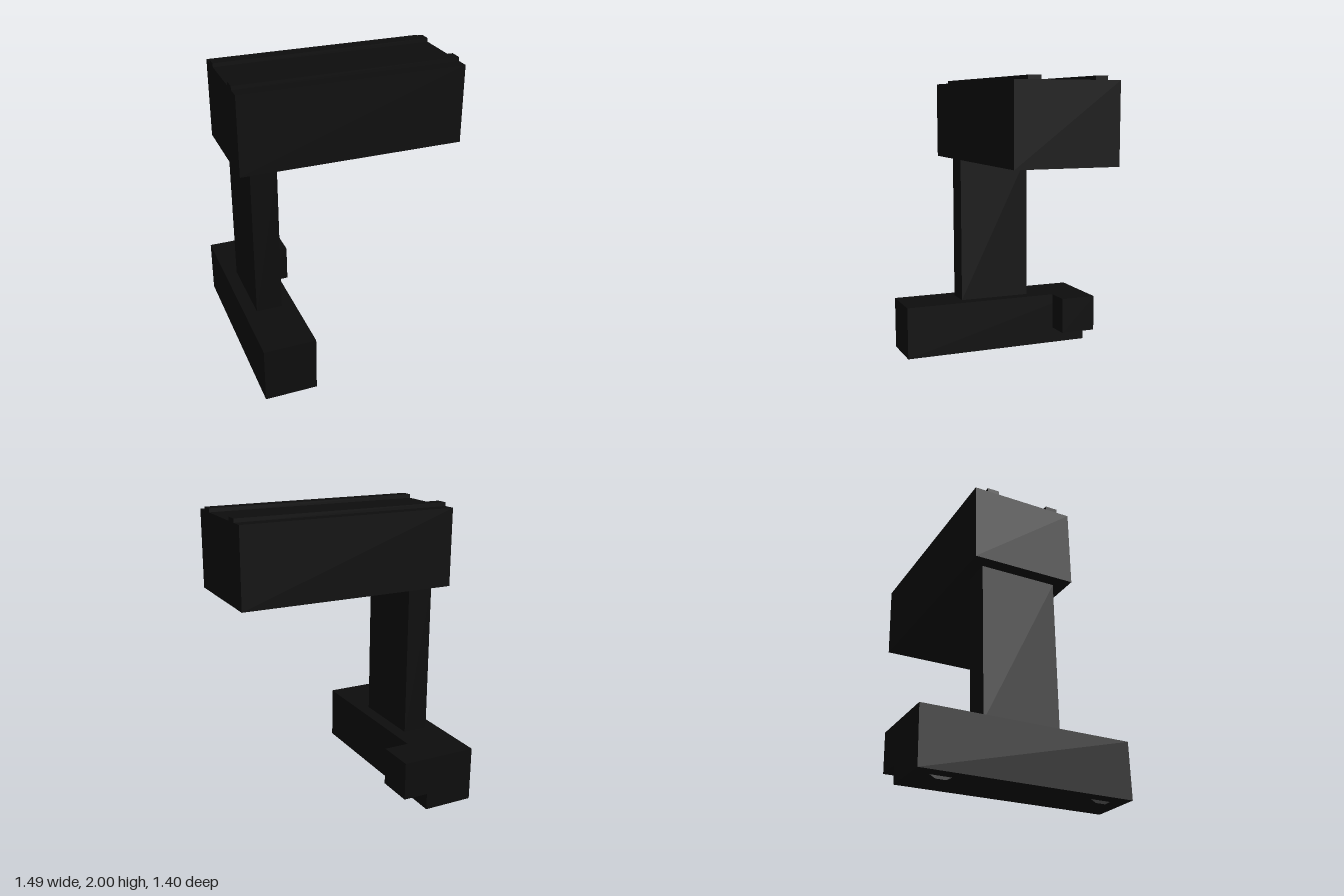
import * as THREE from 'three';

export function createModel() {
  const model = new THREE.Group();
  const black = new THREE.MeshStandardMaterial({ color: 0x0d0d0d });
  black.name = 'matte black';

  // Box given by its [min, max] range on each axis
  function addBox(name, [x0, x1], [y0, y1], [z0, z1]) {
    const mesh = new THREE.Mesh(new THREE.BoxGeometry(x1 - x0, y1 - y0, z1 - z0), black);
    mesh.position.set((x0 + x1) / 2, (y0 + y1) / 2, (z0 + z1) / 2);
    mesh.name = name;
    model.add(mesh);
  }

  // Base with a raised block on its rear inner side
  addBox('base', [-0.745, -0.397], [0.02, 0.395], [-0.7, 0.7]);
  addBox('sideBlock', [-0.397, -0.222], [0.135, 0.395], [-0.7, -0.44]);

  // Upright and overhanging head
  addBox('column', [-0.66, -0.485], [0.395, 1.45], [-0.26, 0.26]);
  addBox('head', [-0.745, 0.745], [1.45, 1.975], [-0.35, 0.35]);

  // Twelve-sided rollers, flat side down, barely showing under the base
  const radius = 0.13;
  const rollerGeometry = new THREE.CylinderGeometry(radius, radius, 0.175, 12).toNonIndexed();
  rollerGeometry.rotateY(Math.PI / 12);
  rollerGeometry.rotateZ(Math.PI / 2);
  rollerGeometry.computeVertexNormals();

  for (const side of [1, -1]) {
    const end = side > 0 ? 'front' : 'rear';

    // Rails along the top of the head
    const z = side * 0.22;
    addBox(end + 'Rail', [-0.745, 0.745], [1.975, 2], [z - 0.042, z + 0.042]);

    const roller = new THREE.Mesh(rollerGeometry, black);
    roller.position.set(-0.5725, radius * Math.cos(Math.PI / 12), side * 0.525);
    roller.name = end + 'Roller';
    model.add(roller);
  }

  return model;
}
